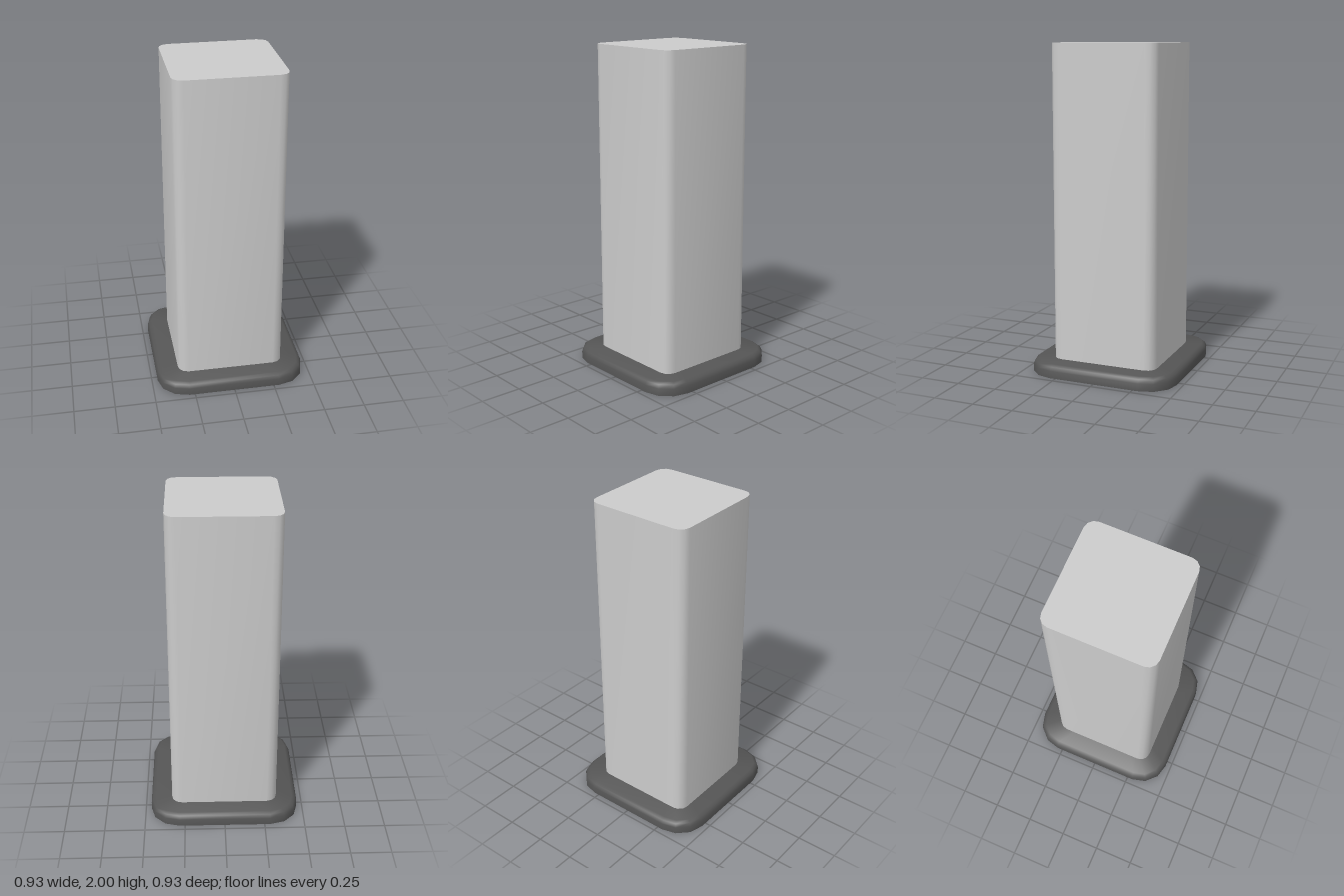
import * as THREE from 'three';
import { toCreasedNormals } from 'three/addons/utils/BufferGeometryUtils.js';

const CORNER_STEPS = 3;
const RING = 4 * (CORNER_STEPS + 1);

// Closed solid from rounded-square rings; profile lists [inset, y] from bottom to top
function roundedSquareLoft(half, radius, profile) {
  const positions = [];
  const index = [];
  for (const [inset, y] of profile) {
    const core = half - radius;
    const r = radius - inset;
    for (let corner = 0; corner < 4; corner++) {
      const mid = (corner + 0.5) * Math.PI / 2;
      const cx = Math.sign(Math.cos(mid)) * core;
      const cz = Math.sign(Math.sin(mid)) * core;
      for (let s = 0; s <= CORNER_STEPS; s++) {
        const a = (corner + s / CORNER_STEPS) * Math.PI / 2;
        positions.push(cx + r * Math.cos(a), y, -(cz + r * Math.sin(a)));
      }
    }
  }
  const bottom = profile.length * RING;
  const top = bottom + 1;
  positions.push(0, profile[0][1], 0, 0, profile[profile.length - 1][1], 0);

  const last = (profile.length - 1) * RING;
  for (let i = 0; i < RING; i++) {
    const j = (i + 1) % RING;
    // Side walls
    for (let k = 0; k < last; k += RING) {
      index.push(k + i, k + j, k + RING + j, k + i, k + RING + j, k + RING + i);
    }
    // End caps
    index.push(bottom, j, i, top, last + i, last + j);
  }
  const geometry = new THREE.BufferGeometry();
  geometry.setAttribute('position', new THREE.Float32BufferAttribute(positions, 3));
  geometry.setIndex(index);
  return toCreasedNormals(geometry, THREE.MathUtils.degToRad(45));
}

function addPart(group, name, geometry, color) {
  const mesh = new THREE.Mesh(geometry, new THREE.MeshStandardMaterial({ color }));
  mesh.name = name;
  group.add(mesh);
}

export function createModel() {
  const group = new THREE.Group();
  group.name = 'pillar';

  // Dark base plate with a softened upper rim
  const baseProfile = [[0, 0], [0, 0.045], [0.01, 0.068], [0.03, 0.08]];
  addPart(group, 'basePlate', roundedSquareLoft(0.464, 0.18, baseProfile), 0x555555);

  // Tall square shaft with rounded vertical edges and a flat top
  addPart(group, 'shaft', roundedSquareLoft(0.332, 0.063, [[0, 0.08], [0, 2]]), 0xcccccc);

  return group;
}
